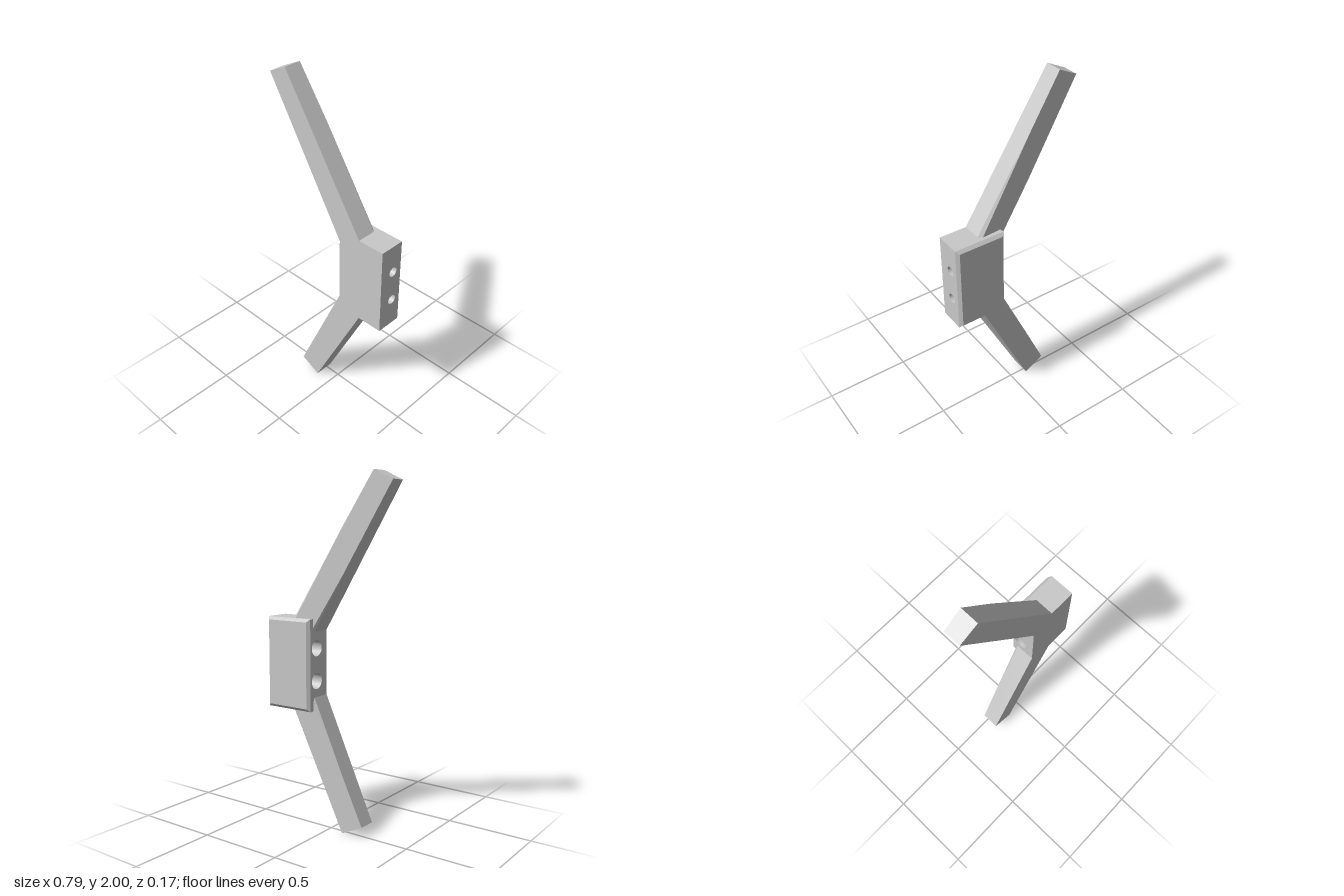
import * as THREE from 'three';

const FRONT = 0.083;      // flat front plane
const EDGE = -0.03;       // depth where the arm chamfers begin
const CREASE_X = -0.097;  // x where the sloping back reaches that depth
const SLOPE = 0.058;      // back of both arms deepens towards +x
const backZ = (x) => EDGE - SLOPE * (x - CREASE_X);

// Flat-faced solid from polygons, each counter-clockwise from outside
function solid(faces) {
  const pos = [];
  for (const f of faces) {
    for (let i = 1; i < f.length - 1; i++) pos.push(...f[0], ...f[i], ...f[i + 1]);
  }
  const g = new THREE.BufferGeometry();
  g.setAttribute('position', new THREE.Float32BufferAttribute(pos, 3));
  g.computeVertexNormals();
  return g;
}

// Tapered arm: outline b0, b1 (base), t1, t0 (tip), counter-clockwise from the front
function armGeometry(b0, b1, t1, t0) {
  const at = (p, z) => [p[0], p[1], z];
  const front = (p) => at(p, FRONT);
  const back = (p) => at(p, backZ(p[0]));
  const edge = (p) => at(p, EDGE);
  // where the sloping back meets the start of the chamfer
  const crease = (b, t) => {
    const u = (CREASE_X - b[0]) / (t[0] - b[0]);
    return [CREASE_X, b[1] + (t[1] - b[1]) * u, EDGE];
  };
  // 45 degree chamfer, measured square to the arm's side
  const inset = (b, other, t) => {
    const e = new THREE.Vector2(other[0] - b[0], other[1] - b[1]).normalize();
    const d = new THREE.Vector2(t[0] - b[0], t[1] - b[1]).normalize();
    const s = SLOPE * (b[0] - CREASE_X) / (Math.abs(e.cross(d)) - SLOPE * e.x);
    return back([b[0] + e.x * s, b[1] + e.y * s]);
  };
  const c0 = crease(b0, t0), c1 = crease(b1, t1);
  const i0 = inset(b0, b1, t0), i1 = inset(b1, b0, t1);
  return solid([
    [b0, b1, t1, t0].map(front),
    [c0, back(t0), back(t1), c1, i1, i0],
    [edge(b1), c1, back(t1), front(t1), front(b1)],
    [back(t0), c0, edge(b0), front(b0), front(t0)],
    [back(t1), back(t0), front(t0), front(t1)],
    [i1, c1, edge(b1)],
    [edge(b0), c0, i0],
    [i0, i1, edge(b1), front(b1), front(b0), edge(b0)],
  ]);
}

const X0 = 0.095, X1 = 0.395, Y0 = 0.682, Y1 = 1.207, SHOULDER = -0.067;

// Slice of the block with two cross holes of the given radius
function drilledSlice(xa, xb, radius) {
  const s = new THREE.Shape();
  s.moveTo(-FRONT, Y0);
  s.lineTo(-SHOULDER, Y0);
  s.lineTo(-SHOULDER, Y1);
  s.lineTo(-FRONT, Y1);
  s.closePath();
  for (const y of [0.852, 1.04]) {
    s.holes.push(new THREE.Path().absarc(0.008, y, radius, 0, Math.PI * 2, true));
  }
  const g = new THREE.ExtrudeGeometry(s, { depth: xb - xa, bevelEnabled: false, curveSegments: 32 });
  return g.rotateY(Math.PI / 2).translate(xa, 0, 0);
}

// Chamfered slab on the back of the block
function backSlab() {
  const ring = (c, z) => [[X0 + c, Y0 + c, z], [X1 - c, Y0 + c, z], [X1 - c, Y1 - c, z], [X0 + c, Y1 - c, z]];
  const a = ring(0, SHOULDER), b = ring(0.017, -0.084);
  const faces = [[...b].reverse()];
  for (let i = 0; i < 4; i++) {
    const j = (i + 1) % 4;
    faces.push([b[i], b[j], a[j], a[i]]);
  }
  return solid(faces);
}

export function createModel() {
  const model = new THREE.Group();
  const grey = new THREE.MeshStandardMaterial({ color: 0xc8c8c8 });
  grey.name = 'grey';
  const add = (name, geometry) => {
    const m = new THREE.Mesh(geometry, grey);
    m.name = name;
    model.add(m);
  };

  add('upperArm', armGeometry([0.095, 1.135], [0.234, 1.206], [-0.283, 2], [-0.395, 1.947]));
  add('lowerArm', armGeometry([0.243, 0.683], [0.095, 0.76], [-0.225, 0.06], [-0.098, 0]));

  // wide counterbores on one side, narrow screw holes on the other
  add('blockCounterboreHalf', drilledSlice(X0, 0.29, 0.046));
  add('blockScrewHalf', drilledSlice(0.29, X1, 0.028));
  add('blockBack', backSlab());
  return model;
}
